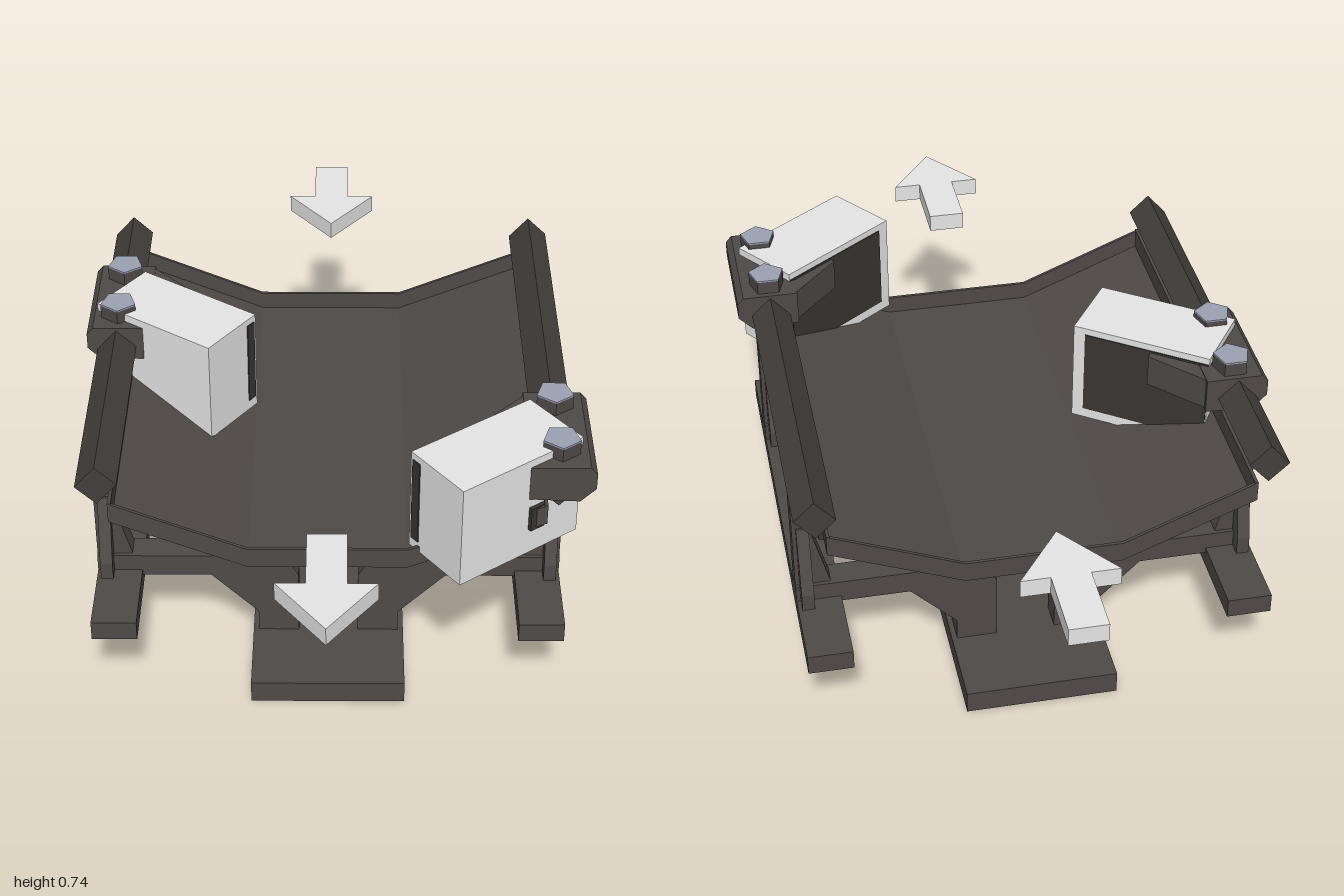
import * as THREE from 'three';

const mat = (name, color) => {
  const m = new THREE.MeshStandardMaterial({ color, flatShading: true });
  m.name = name;
  return m;
};

export function createModel() {
  const steel = mat('dark steel', 0x4f4a48);
  const railSteel = mat('rail steel', 0x433f3c);
  const rubber = mat('black rubber', 0x393633);
  const pale = mat('pale grey', 0xe6e6e6);
  const boltTop = mat('blue grey bolt', 0x9ca2b3);

  const model = new THREE.Group();
  const frame = new THREE.Group();
  frame.name = 'frame';
  frame.position.set(-0.005, 0, -0.015);
  model.add(frame);

  const add = (parent, name, geo, material, x = 0, y = 0, z = 0) => {
    const mesh = new THREE.Mesh(geo, material);
    mesh.name = name;
    mesh.position.set(x, y, z);
    parent.add(mesh);
    return mesh;
  };
  const box = (parent, name, m, w, h, d, x, y, z) =>
    add(parent, name, new THREE.BoxGeometry(w, h, d), m, x, y, z);
  const shapeOf = (pts) => new THREE.Shape(pts.map((p) => new THREE.Vector2(...p)));
  // x,y outline extruded along z, centred on z = 0
  const prism = (pts, depth) =>
    new THREE.ExtrudeGeometry(shapeOf(pts), { depth, bevelEnabled: false }).translate(0, 0, -depth / 2);
  // x,z outline extruded upward from y = 0
  const slab = (pts, height) =>
    new THREE.ExtrudeGeometry(shapeOf(pts.map(([x, z]) => [x, -z])), { depth: height, bevelEnabled: false })
      .rotateX(-Math.PI / 2);
  const flip = (pts, s) => pts.map(([x, y]) => [x * s, y]);

  const LEN = 1.12;

  box(frame, 'basePlate', steel, 0.37, 0.057, LEN, 0, 0.0285, 0);

  // shallow trough: thin bent floor with a low rim on all four sides
  const bent = (height, depth) => prism([
    [-0.5, 0.548], [-0.185, 0.418], [0.185, 0.418], [0.5, 0.548],
    [0.5, 0.548 + height], [0.185, 0.418 + height], [-0.185, 0.418 + height], [-0.5, 0.548 + height],
  ], depth);
  add(frame, 'troughFloor', bent(0.006, LEN), steel);
  for (const s of [-1, 1]) {
    add(frame, 'troughEndRim', bent(0.051, 0.008), steel, 0, 0, s * (LEN / 2 - 0.004));
    box(frame, 'troughSideRim', steel, 0.008, 0.051, LEN, s * 0.496, 0.5735, 0);
  }

  // long side members
  for (const s of [-1, 1]) {
    box(frame, 'footRail', steel, 0.108, 0.05, LEN, s * 0.506, 0.22, 0);
    add(frame, 'topRail', prism([[-0.048, -0.004], [0, -0.05], [0.048, 0.004], [0, 0.05]], LEN),
      railSteel, s * 0.523, 0.65, 0);
  }

  // eight-sided roller bent up at both ends
  const rollerGeo = new THREE.CylinderGeometry(0.066, 0.066, 3, 8, 3);
  rollerGeo.rotateZ(-Math.PI / 2);
  const p = rollerGeo.attributes.position;
  for (let i = 0; i < p.count; i++) {
    const x = p.getX(i), outer = Math.abs(x) > 1;
    p.setXYZ(i, Math.sign(x) * (outer ? 0.5 : 0.185), p.getY(i) + (outer ? 0.486 : 0.349), p.getZ(i));
  }

  // two support stations
  for (const z of [-0.325, 0.325]) {
    add(frame, 'roller', rollerGeo, steel, 0, 0, z);
    for (const s of [-1, 1]) {
      add(frame, 'leg', prism(flip([
        [0.0725, 0.05], [0.172, 0.05], [0.172, 0.115], [0.285, 0.23], [0.56, 0.23],
        [0.56, 0.288], [0.105, 0.288], [0.0725, 0.23],
      ], s), 0.07), steel, 0, 0, z);
      add(frame, 'post', prism(flip([
        [0.475, 0.24], [0.56, 0.24], [0.56, 0.645], [0.52, 0.645], [0.52, 0.46], [0.475, 0.29],
      ], s), 0.05), steel, 0, 0, z);
      // flared gusset across the post
      const gusset = add(frame, 'gusset', prism([
        [-0.07, 0.24], [0.07, 0.24], [0.07, 0.29], [0.03, 0.46], [-0.03, 0.46], [-0.07, 0.29],
      ], 0.03), steel, s * 0.535, 0, z);
      gusset.rotation.y = Math.PI / 2;
    }
  }

  // deflector units: angled block, rubber face, clamp and bolts
  const units = [
    { s: -1, x: -0.383, z: -0.078, angle: -0.612, z0: -0.315, z1: -0.02, bolts: [[-0.522, -0.265], [-0.525, -0.085]] },
    { s: 1, x: 0.378, z: 0.485, angle: 0.637, z0: 0.25, z1: 0.549, bolts: [[0.52, 0.3], [0.522, 0.48]] },
  ];
  for (const u of units) {
    const s = u.s;
    const deflector = new THREE.Group();
    deflector.name = 'deflector';
    deflector.position.set(u.x, 0, u.z);
    deflector.rotation.y = u.angle;
    model.add(deflector);
    box(deflector, 'deflectorBlock', pale, 0.348, 0.264, 0.186, 0, 0.595, 0);
    box(deflector, 'rubberFace', rubber, 0.316, 0.22, 0.008, s * 0.014, 0.6, -0.0915);
    box(deflector, 'rubberEdge', rubber, 0.02, 0.22, 0.026, -s * 0.167, 0.6, -0.072);
    if (s > 0) box(deflector, 'clampTab', rubber, 0.04, 0.062, 0.026, 0.043, 0.563, 0.09);

    // clamp around the rail, chamfered in section
    add(model, 'clamp', prism(flip([
      [0.45, 0.62], [0.565, 0.615], [0.6, 0.65], [0.6, 0.69], [0.585, 0.707], [0.45, 0.707],
    ], s), u.z1 - u.z0), steel, 0, 0, (u.z0 + u.z1) / 2);
    add(model, 'clampArm', slab(flip([
      [0.46, u.z0], [0.46, u.z0 + 0.24], [0.4, u.z0 + 0.24], [0.34, u.z0 + 0.13],
    ], s), 0.08), steel, 0, 0.625, 0);
    for (const [x, z] of u.bolts) {
      add(model, 'bolt', new THREE.CylinderGeometry(0.045, 0.045, 0.037, 5), steel, x, 0.7215, z);
      add(model, 'boltCap', new THREE.CylinderGeometry(0.045, 0.045, 0.004, 5), boltTop, x, 0.742, z);
    }
  }

  // flow arrows before and after the trough
  const arrowGeo = slab([
    [-0.045, 0], [0.045, 0], [0.045, 0.17], [0.113, 0.17], [0, 0.32], [-0.113, 0.17], [-0.045, 0.17],
  ], 0.045);
  for (const z of [-1, 0.68]) add(model, 'flowArrow', arrowGeo, pale, -0.005, 0.577, z);

  return model;
}
